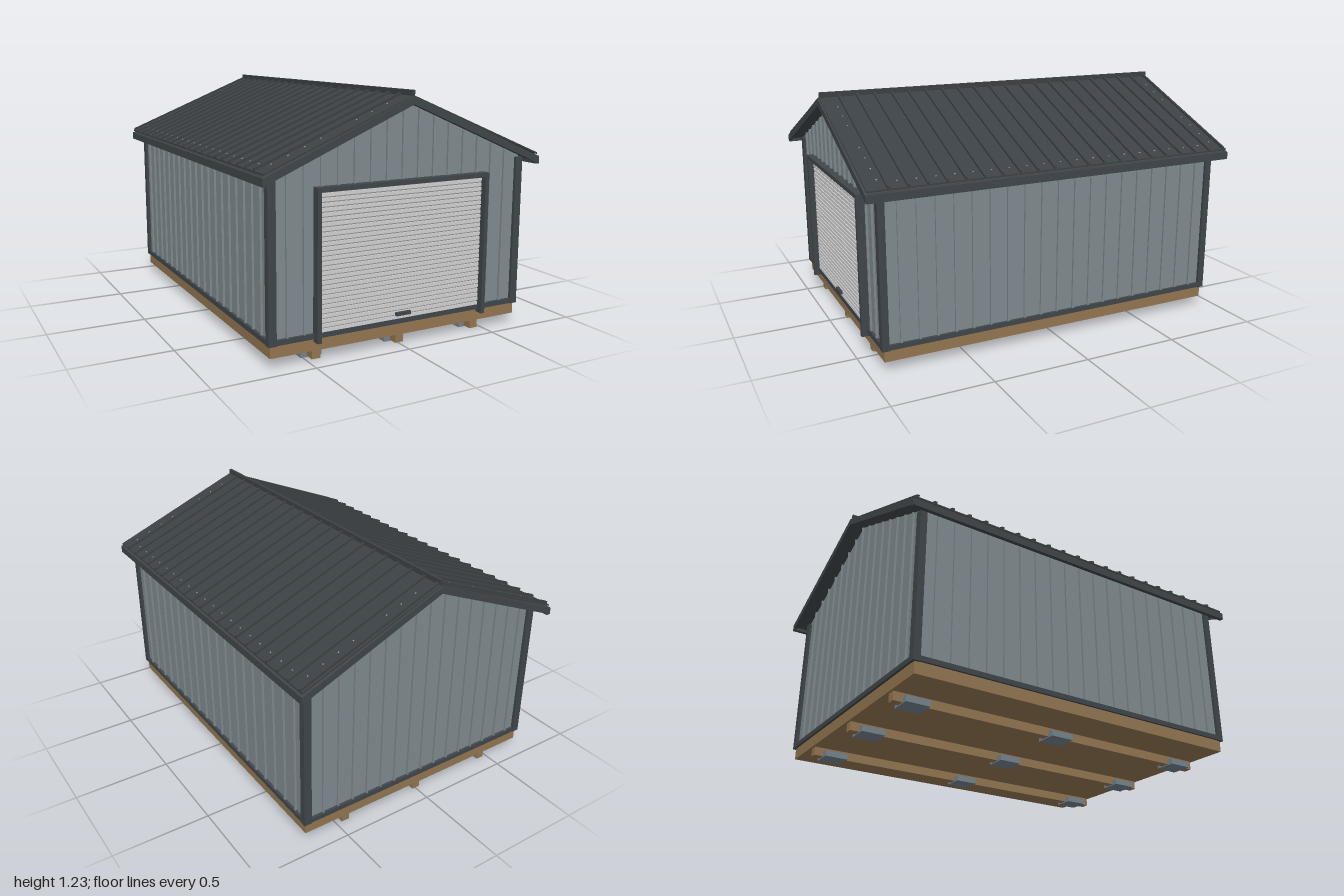
import * as THREE from 'three';

const mat = (name, color, extra = {}) => {
  const m = new THREE.MeshStandardMaterial({ color, ...extra });
  m.name = name;
  return m;
};

export function createModel() {
  const wall = mat('wallGrey', 0x7f8a8f);
  const trim = mat('trimCharcoal', 0x40464b);
  const roof = mat('roofCharcoal', 0x3c4145);
  const wood = mat('timber', 0x927650);
  const white = mat('doorWhite', 0xd2d2d2);
  const groove = mat('doorGroove', 0x949494);
  const block = mat('footingGrey', 0x74838c);
  const screw = mat('screwSilver', 0x9a9fa3);

  const shed = new THREE.Group();
  shed.name = 'shed';
  const add = (name, geo, m, parent = shed) => {
    const mesh = new THREE.Mesh(geo, m);
    mesh.name = name;
    parent.add(mesh);
    return mesh;
  };
  // box given by its limits on each axis
  const box = (name, m, x0, x1, y0, y1, z0, z1, parent = shed) => {
    const mesh = add(name, new THREE.BoxGeometry(x1 - x0, y1 - y0, z1 - z0), m, parent);
    mesh.position.set((x0 + x1) / 2, (y0 + y1) / 2, (z0 + z1) / 2);
    return mesh;
  };
  // flat outline in x, y extruded from z0 to z1
  const slab = (name, m, pts, z0, z1) => {
    const shape = new THREE.Shape(pts.map(p => new THREE.Vector2(...p)));
    const geo = new THREE.ExtrudeGeometry(shape, { depth: z1 - z0, bevelEnabled: false });
    geo.translate(0, 0, z0);
    return add(name, geo, m);
  };
  // inverted V strip: apex height, slope, half width, vertical thickness
  const chevron = (top, slope, hw, t) => [
    [0, top], [-hw, top - slope * hw], [-hw, top - slope * hw - t],
    [0, top - t], [hw, top - slope * hw - t], [hw, top - slope * hw],
  ];
  const SLOPE = 0.424;

  // footings, skids and floor
  for (const x of [-0.455, 0, 0.45]) {
    box('skid', wood, x - 0.022, x + 0.022, 0.005, 0.052, -0.91, 0.91);
    for (const z of [-0.8, 0, 0.8])
      box('footingBlock', block, x - 0.055, x + 0.055, 0, 0.03, z - 0.062, z + 0.062);
  }
  box('floorFrame', wood, -0.693, 0.693, 0.05, 0.112, -0.922, 0.922);

  // walls with gables
  slab('walls', wall, [[-0.69, 0.11], [0.69, 0.11], [0.69, 0.885], [0, 1.178], [-0.69, 0.885]], -0.92, 0.92);

  // raised seams on gable ends, clipped by roof and door
  for (let i = -7; i <= 7; i++) {
    const x = -0.008 + i * 0.086;
    const top = 1.17 - SLOPE * Math.abs(x);
    box('frontSeam', wall, x - 0.004, x + 0.004, Math.abs(x) < 0.46 ? 0.8 : 0.12, top, 0.915, 0.931);
    box('backSeam', wall, x - 0.004, x + 0.004, 0.12, top, -0.931, -0.915);
  }
  // raised seams on the long walls
  for (const s of [-1, 1])
    for (let i = -9; i <= 9; i++) {
      const z = i * 0.093, x = s * 0.693;
      box('sideSeam', wall, x - 0.008, x + 0.008, 0.12, 0.87, z - 0.005, z + 0.005);
    }

  // corner and base trim
  for (const s of [-1, 1]) {
    for (const f of [-1, 1]) {
      const x = s * 0.685, z = f * 0.9175;
      box('cornerTrim', trim, x - 0.02, x + 0.02, 0.108, 0.872, z - 0.0175, z + 0.0175);
    }
    box('sideBaseTrim', trim, s * 0.694 - 0.01, s * 0.694 + 0.01, 0.11, 0.135, -0.91, 0.91);
    box('endBaseTrim', trim, -0.68, 0.68, 0.11, 0.135, s * 0.922 - 0.012, s * 0.922 + 0.012);
  }

  // roll-up door
  const door = new THREE.Group();
  door.name = 'rollUpDoor';
  shed.add(door);
  box('doorBacking', groove, -0.457, 0.457, 0.13, 0.795, 0.915, 0.928, door);
  const pitch = 0.0225;
  for (let y = 0.135; y < 0.785; y += pitch)
    box('doorSlat', white, -0.456, 0.456, y, Math.min(y + pitch - 0.006, 0.795), 0.92, 0.933, door);
  box('doorHandle', trim, -0.04, 0.04, 0.153, 0.17, 0.93, 0.948, door);
  for (const s of [-1, 1])
    box('doorJamb', trim, s * 0.464 - 0.011, s * 0.464 + 0.011, 0.095, 0.812, 0.918, 0.963, door);
  box('doorHead', trim, -0.453, 0.453, 0.79, 0.812, 0.918, 0.962, door);

  // roof deck, gable fascia and eave fascia
  slab('roofDeck', trim, chevron(1.198, SLOPE, 0.74, 0.025), -0.985, 0.985);
  for (const z of [-1, 0.985])
    slab('gableFascia', trim, chevron(1.2, SLOPE, 0.755, 0.037), z, z + 0.015);
  for (const s of [-1, 1])
    box('eaveFascia', trim, s * 0.745 - 0.01, s * 0.745 + 0.01, 0.843, 0.882, -0.998, 0.998);

  // metal sheet, standing ribs and ridge cap
  const RS = 0.41;
  slab('roofSheet', roof, chevron(1.205, RS, 0.748, 0.008), -0.992, 0.992);
  for (let i = 0; i <= 20; i++) {
    const z = -0.973 + i * 0.0932;
    slab('roofRib', roof, chevron(1.217, RS, 0.748, 0.014), z - 0.006, z + 0.006);
  }
  box('ridgeCap', roof, -0.008, 0.008, 1.19, 1.228, -0.99, 0.99);

  // roof screws along the verges and eaves
  const dot = new THREE.BoxGeometry(0.006, 0.004, 0.006);
  const addScrew = (x, z) => {
    const m = add('roofScrew', dot, screw);
    m.position.set(x, 1.206 - RS * Math.abs(x), z);
    m.rotation.z = -Math.sign(x) * Math.atan(RS);
  };
  for (const s of [-1, 1]) {
    for (const z of [-0.93, 0.925])
      for (const x of [0.1, 0.18, 0.26, 0.44, 0.52, 0.6, 0.68]) addScrew(s * x, z);
    for (let i = 0; i < 19; i++) addScrew(s * 0.7, -0.84 + i * 0.0932);
  }
  return shed;
}
